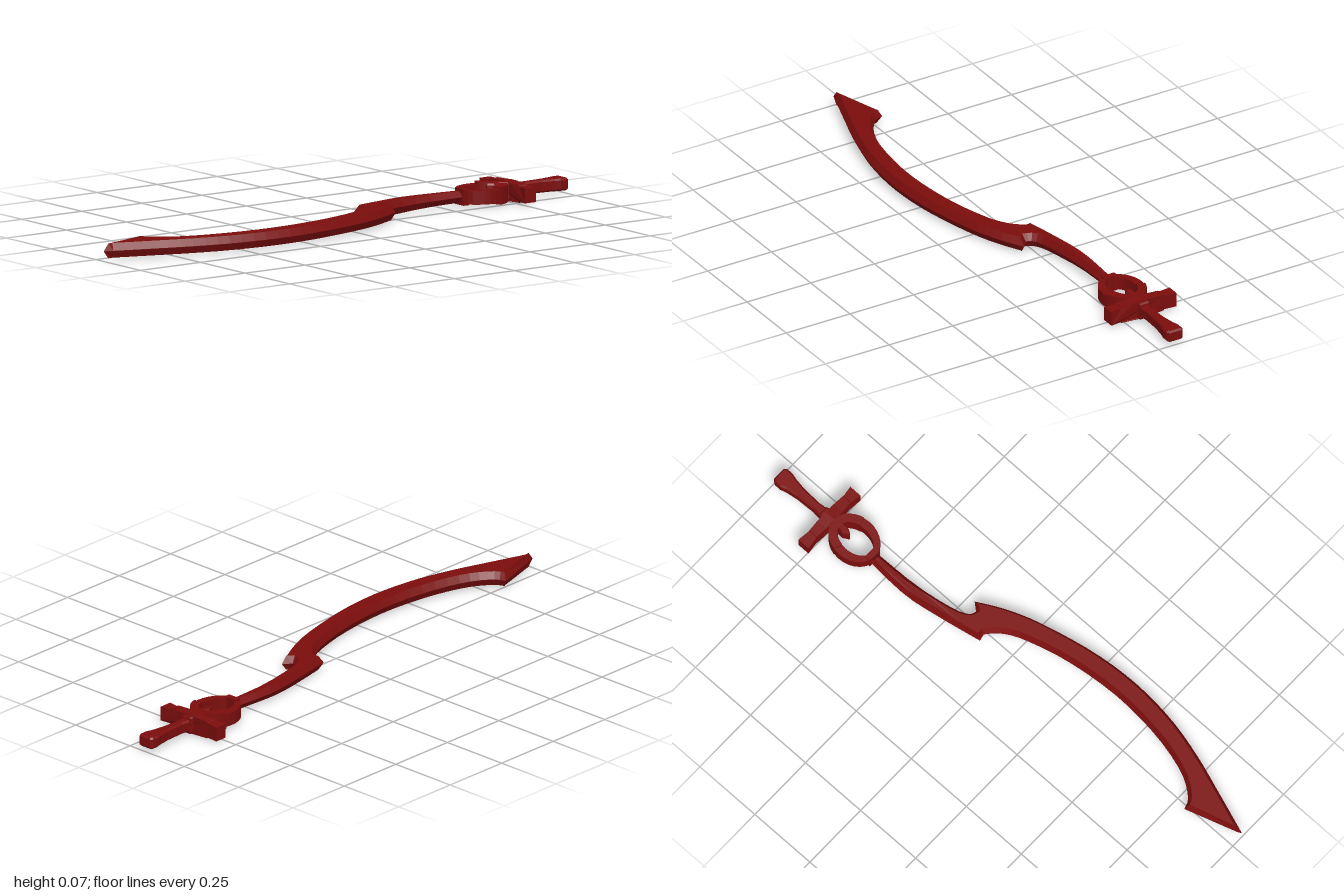
import * as THREE from 'three';

const MID = 0.038; // height of the sword's central plane
const AXIS = -0.068; // z of the grip and ring axis

const material = new THREE.MeshStandardMaterial({ color: 0x7c0d0d, flatShading: true });
const vec = ([x, z]) => new THREE.Vector2(x, -z);

// Flat plate lying in the xz plane, optionally with chamfered rims
function plate(name, shape, height, bevel = 0, bevelHeight = 0) {
  const depth = height - 2 * bevelHeight;
  const geo = new THREE.ExtrudeGeometry(shape, {
    depth, curveSegments: 24, bevelEnabled: bevel > 0, bevelSegments: 1,
    bevelSize: bevel, bevelOffset: -bevel, bevelThickness: bevelHeight,
  });
  geo.translate(0, 0, -depth / 2);
  geo.rotateX(-Math.PI / 2);
  geo.translate(0, MID, 0);
  const mesh = new THREE.Mesh(geo, material);
  mesh.name = name;
  return mesh;
}

const polygon = (points) => new THREE.Shape(points.map(vec));

// Outline points smoothed by a spline
const smooth = (points, n) => new THREE.SplineCurve(points.map(vec)).getPoints(n);

// Polygon mirrored across the sword's axis; points are [x, half width]
const mirrored = (half) => polygon([
  ...half.map(([x, w]) => [x, AXIS + w]),
  ...half.slice().reverse().map(([x, w]) => [x, AXIS - w]),
]);

// Part of an elliptical band between two angles
function band(a0, a1) {
  const outer = [], inner = [];
  for (let i = 0; i <= 16; i++) {
    const a = a0 + (a1 - a0) * i / 16;
    outer.push([0.657 + 0.094 * Math.cos(a), AXIS + 0.077 * Math.sin(a)]);
    inner.unshift([0.652 + 0.07 * Math.cos(a), AXIS + 0.047 * Math.sin(a)]);
  }
  return polygon([...outer, ...inner]);
}

export function createModel() {
  const group = new THREE.Group();
  group.name = 'sickleSword';

  // Curved blade and shank with sharp edges
  const cuttingEdge = smooth([[-1, 0.045], [-0.85, 0.097], [-0.7, 0.147], [-0.55, 0.182],
    [-0.38, 0.196], [-0.2, 0.182], [0, 0.138], [0.12, 0.095], [0.215, 0.045]], 28);
  const shankFront = smooth([[0.187, 0.022], [0.2, -0.002], [0.26, -0.024], [0.4, -0.045], [0.57, -0.05]], 10);
  const shankBack = smooth([[0.57, -0.088], [0.4, -0.095], [0.25, -0.073], [0.108, -0.045]], 10);
  const innerEdge = smooth([[0.113, -0.02], [0.075, 0.02], [0, 0.058], [-0.16, 0.1], [-0.36, 0.12],
    [-0.55, 0.106], [-0.7, 0.068], [-0.78, 0.018], [-0.8, -0.022]], 26);
  const blade = plate('blade', new THREE.Shape([...cuttingEdge, ...shankFront, ...shankBack, ...innerEdge]),
    0.05, 0.013, 0.0245);
  // Shank thins towards the ring
  const pos = blade.geometry.attributes.position;
  for (let i = 0; i < pos.count; i++) {
    const t = THREE.MathUtils.clamp((pos.getX(i) - 0.3) / 0.15, 0, 1);
    pos.setY(i, MID + (pos.getY(i) - MID) * (1 - 0.2 * t));
  }
  blade.geometry.computeVertexNormals();
  group.add(blade);

  // Collar joining shank and ring
  const collar = new THREE.Mesh(new THREE.BoxGeometry(0.022, 0.056, 0.05), material);
  collar.name = 'collar';
  collar.position.set(0.575, MID, AXIS);
  group.add(collar);

  // Ring: slim front half, taller crescent on the guard side
  const split = 1.3;
  group.add(plate('ringFront', band(split, 2 * Math.PI - split), 0.046));
  group.add(plate('ringCrescent', band(-split, split), 0.06));

  // Central spike inside the ring, reaching over the guard
  const spike = plate('spike', mirrored([[0.678, 0.002], [0.7, 0.014], [0.72, 0.012], [0.75, 0.03], [0.8, 0.018]]),
    0.062, 0.004, 0.006);
  group.add(spike);

  // Crossguard: flared ends and a thicker middle, profile in the yz plane
  const half = [[-0.131, 0.025], [-0.085, 0.026], [-0.082, 0.03], [-0.04, 0.031], [0, 0.034],
    [0.04, 0.031], [0.082, 0.03], [0.085, 0.026], [0.125, 0.025]];
  const profile = new THREE.Shape([...half.map(([z, h]) => new THREE.Vector2(-z, h)),
    ...half.slice().reverse().map(([z, h]) => new THREE.Vector2(-z, -h))]);
  const guardGeo = new THREE.ExtrudeGeometry(profile, { depth: 0.04, bevelEnabled: false });
  guardGeo.translate(0, 0, -0.02);
  guardGeo.rotateY(Math.PI / 2);
  const gp = guardGeo.attributes.position;
  for (let i = 0; i < gp.count; i++) {
    const t = Math.abs(gp.getZ(i));
    gp.setX(i, gp.getX(i) * (t > 0.1 ? 1.15 : t > 0.06 ? 0.85 : 1));
  }
  guardGeo.computeVertexNormals();
  const guard = new THREE.Mesh(guardGeo, material);
  guard.name = 'crossguard';
  guard.position.set(0.768, MID, AXIS);
  group.add(guard);

  // Grip flaring into the pommel
  group.add(plate('grip', mirrored([[0.78, 0.02], [0.83, 0.015], [0.9, 0.018], [0.945, 0.025],
    [0.965, 0.031], [0.99, 0.031], [1, 0.024]]), 0.042, 0.006, 0.006));

  return group;
}
